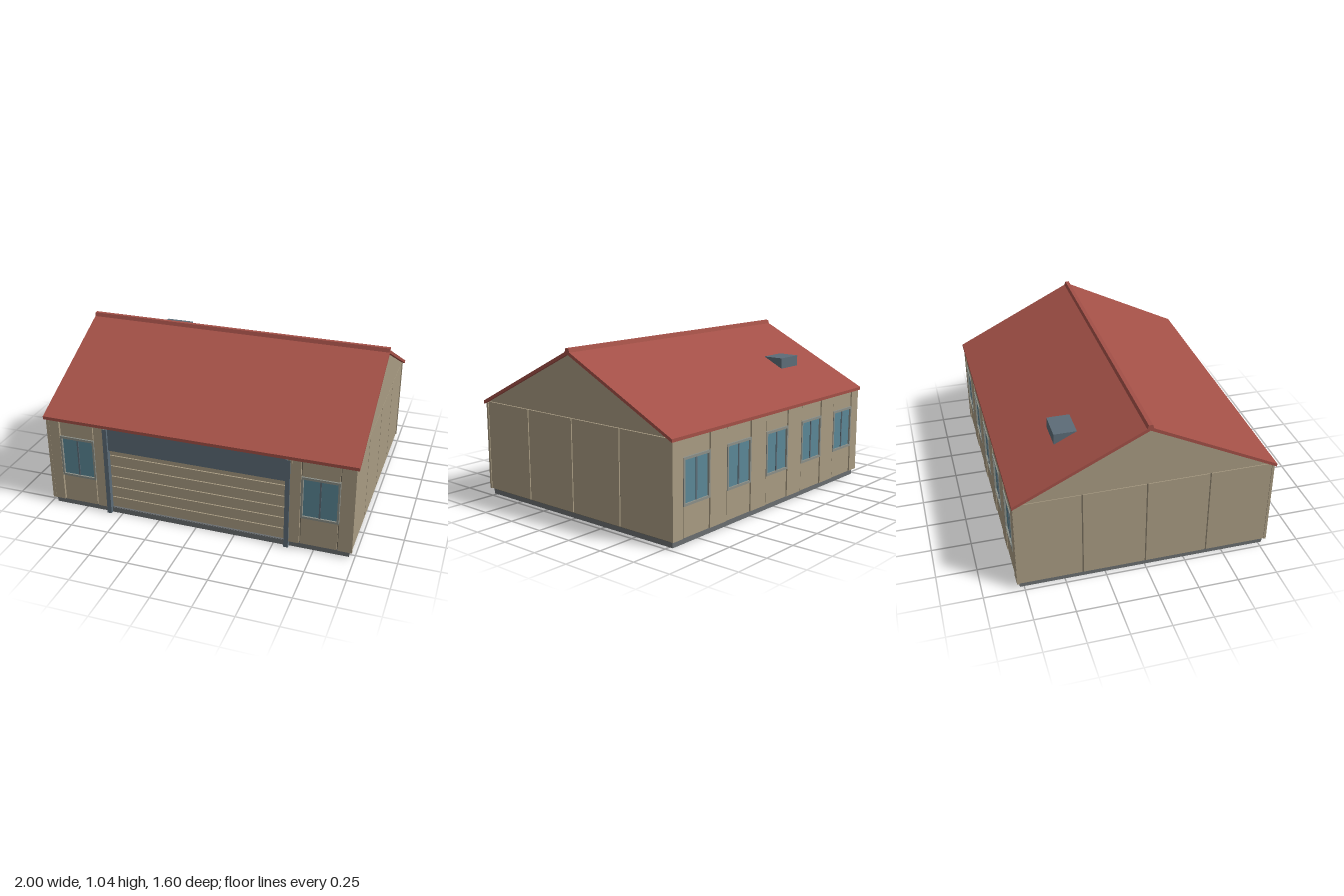
import * as THREE from 'three';

const mat = (color) => new THREE.MeshStandardMaterial({ color });
const M = {
  wall: mat(0xa89b82), groove: mat(0x6f6757), roof: mat(0xa35047), steel: mat(0x5c6c77),
  glass: mat(0x5b8796), frame: mat(0x8b8f88), base: mat(0x6a6e70),
};

export function createModel() {
  const root = new THREE.Group();

  // Box given by its min and max on each axis
  function box(name, material, x0, x1, y0, y1, z0, z1, parent = root) {
    const mesh = new THREE.Mesh(new THREE.BoxGeometry(x1 - x0, y1 - y0, z1 - z0), material);
    mesh.position.set((x0 + x1) / 2, (y0 + y1) / 2, (z0 + z1) / 2);
    mesh.name = name;
    parent.add(mesh);
    return mesh;
  }

  // Outline in (z, y) swept along x, centred on x = 0
  function sweep(name, material, points, width) {
    const shape = new THREE.Shape(points.map(([z, y]) => new THREE.Vector2(-z, y)));
    const geo = new THREE.ExtrudeGeometry(shape, { depth: width, bevelEnabled: false });
    geo.translate(0, 0, -width / 2).rotateY(Math.PI / 2);
    const mesh = new THREE.Mesh(geo, material);
    mesh.name = name;
    root.add(mesh);
  }

  // Plinth and inner core
  box('plinth', M.base, -0.965, 0.965, 0, 0.036, -0.775, 0.775);
  box('core', M.groove, -0.972, 0.972, 0.034, 0.615, -0.778, 0.75);

  // Side wall panels, separated by narrow grooves
  for (const s of [-1, 1]) {
    const side = new THREE.Group();
    side.name = s > 0 ? 'leftWall' : 'rightWall';
    root.add(side);
    const edges = [-0.778, -0.39, 0, 0.39, 0.778];
    for (let i = 0; i < 4; i++) {
      const x = [0.965 * s, 0.98 * s].sort((a, b) => a - b);
      box('sidePanel', M.wall, ...x, 0.04, 0.618, edges[i] + 0.004, edges[i + 1] - 0.004, side);
    }
    for (const z of [-0.785, 0.785]) {
      box('cornerStrip', M.wall, s * 0.975 - 0.01, s * 0.975 + 0.01, 0.04, 0.61, z - 0.008, z + 0.008, side);
    }
  }

  // Gable block and roof
  sweep('gable', M.wall, [[-0.78, 0.622], [0.78, 0.622], [0, 1.003]], 1.96);
  sweep('roof', M.roof, [
    [0.8, 0.605], [0.8, 0.625], [0.02, 1.012], [0.012, 1.036], [-0.012, 1.036], [-0.02, 1.012],
    [-0.8, 0.625], [-0.8, 0.605], [0, 1.0],
  ], 2);

  // Roof vent, cut off by the back slope
  box('roofVent', M.steel, -0.68, -0.49, 0.74, 0.852, -0.483, -0.335);

  // One facade bay with its window, facing +z, origin on the wall plane
  function windowBay(x, z, back) {
    const bay = new THREE.Group();
    bay.name = 'windowBay';
    box('lowerPanel', M.wall, -0.111, 0.111, 0.04, 0.221, -0.03, 0.002, bay);
    box('upperPanel', M.wall, -0.111, 0.111, 0.504, 0.612, -0.03, 0.002, bay);
    for (const s of [-1, 1]) {
      box('windowJamb', M.frame, s * 0.11 - 0.006, s * 0.11 + 0.006, 0.225, 0.5, -0.03, 0.009, bay);
      box('windowPane', M.glass, s * 0.053 - 0.049, s * 0.053 + 0.049, 0.237, 0.487, -0.03, -0.002, bay);
    }
    box('windowSill', M.frame, -0.116, 0.116, 0.223, 0.237, -0.03, 0.009, bay);
    box('windowHead', M.frame, -0.116, 0.116, 0.487, 0.502, -0.03, 0.009, bay);
    box('mullion', M.steel, -0.005, 0.005, 0.237, 0.487, -0.03, 0.003, bay);
    bay.position.set(x, 0, z);
    if (back) bay.rotation.y = Math.PI;
    root.add(bay);
  }

  // Back wall: five bays with piers between them
  const backX = [-0.78, -0.39, 0, 0.39, 0.78];
  backX.forEach((x) => windowBay(x, -0.788, true));
  const pier = (x0, x1, z0, z1) => box('pier', M.wall, x0, x1, 0.04, 0.612, z0, z1);
  for (let i = 0; i < 4; i++) pier(backX[i] + 0.119, backX[i + 1] - 0.119, -0.794, -0.76);
  for (const s of [-1, 1]) {
    const outer = [s * 0.899, s * 0.98].sort((a, b) => a - b);
    const inner = [s * 0.595, s * 0.661].sort((a, b) => a - b);
    pier(...outer, -0.794, -0.76);

    // Front wall beside the door
    windowBay(s * 0.78, 0.786, false);
    pier(...outer, 0.74, 0.792);
    pier(...inner, 0.74, 0.792);
    const backing = [s * 0.6, s * 0.975].sort((a, b) => a - b);
    box('frontBacking', M.groove, ...backing, 0.04, 0.61, 0.74, 0.775);

    // Door posts
    box('doorPost', M.steel, s * 0.583 - 0.014, s * 0.583 + 0.014, 0, 0.6, 0.745, 0.8);
    box('postCap', M.wall, s * 0.595 - 0.012, s * 0.595 + 0.012, 0.58, 0.61, 0.745, 0.798);
  }

  // Wide sectional door under a steel header
  box('doorHeader', M.steel, -0.585, 0.585, 0.45, 0.62, 0.74, 0.785);
  box('doorSill', M.base, -0.57, 0.57, 0, 0.034, 0.74, 0.778);
  const rows = [0.036, 0.11, 0.185, 0.26, 0.335, 0.41, 0.452];
  for (let i = 0; i < rows.length - 1; i++) {
    box('doorSlat', M.wall, -0.57, 0.57, rows[i] + 0.003, rows[i + 1] - 0.003, 0.74, 0.768);
  }
  return root;
}
